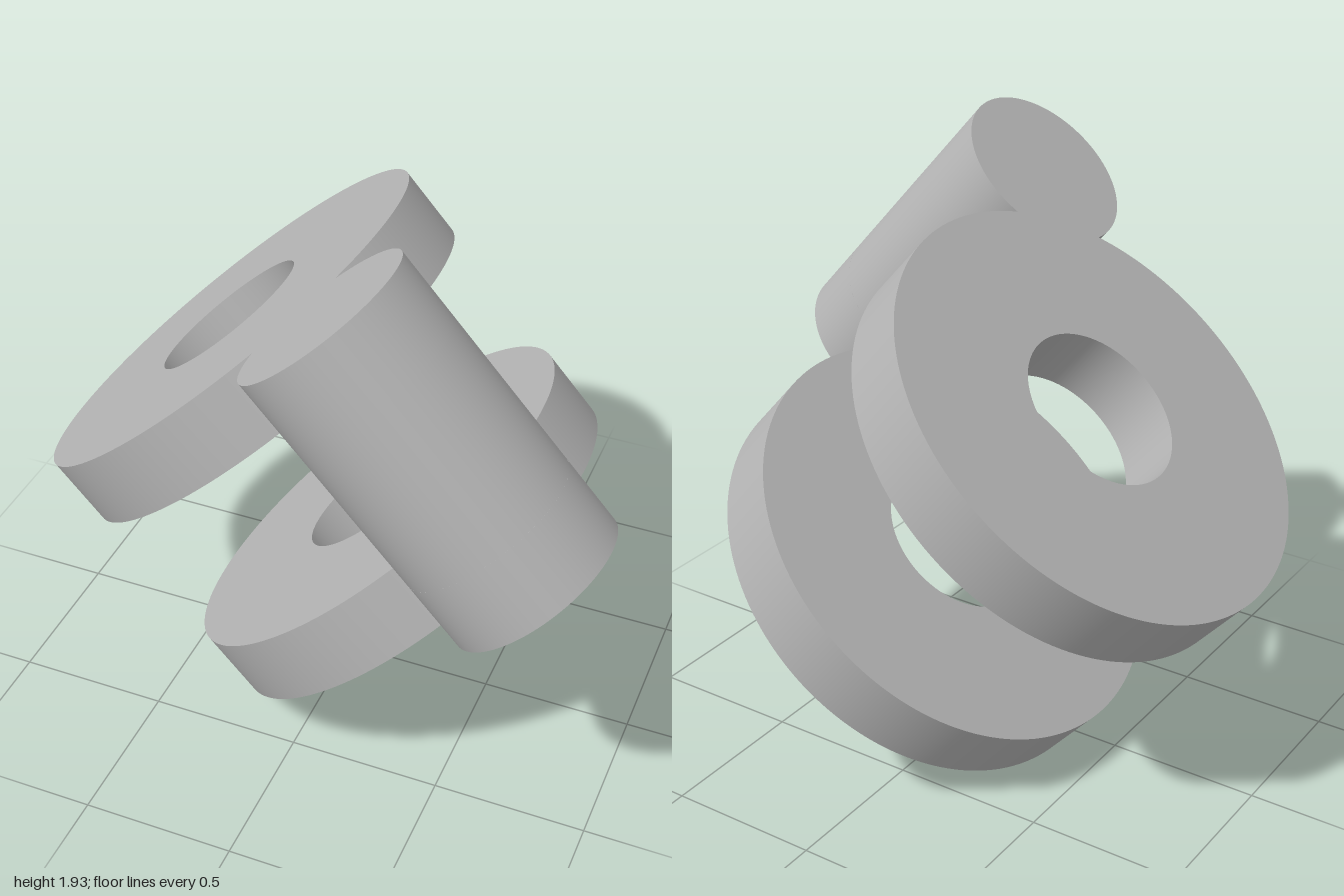
import * as THREE from 'three';
import { toCreasedNormals } from 'three/addons/utils/BufferGeometryUtils.js';

export function createModel() {
  const grey = new THREE.MeshStandardMaterial({ color: 0xb4b4b4 });
  grey.name = 'plain grey';

  const ringR = 0.73, holeR = 0.268, pinR = 0.29;
  const pinX = 0.755, pinY = 0.58;          // pin centre relative to the ring centre
  const thickness = 0.235, length = 1.005;  // plate thickness, overall length along the axis

  // Plate outline: ring and pin circles joined where they cross
  const d = Math.hypot(pinX, pinY), phi = Math.atan2(pinY, pinX);
  const a = Math.acos((d * d + ringR * ringR - pinR * pinR) / (2 * d * ringR));
  const b = Math.acos((d * d + pinR * pinR - ringR * ringR) / (2 * d * pinR));
  const outline = new THREE.Shape();
  outline.absarc(0, 0, ringR, phi + a, phi - a + 2 * Math.PI, false);
  outline.absarc(pinX, pinY, pinR, phi + Math.PI + b, phi + 3 * Math.PI - b, false);
  outline.closePath();
  const hole = new THREE.Path();
  hole.absarc(0, 0, holeR, 0, 2 * Math.PI, true);
  outline.holes.push(hole);

  const plateGeo = toCreasedNormals(
    new THREE.ExtrudeGeometry(outline, { depth: thickness, bevelEnabled: false, curveSegments: 72 }), 0.5);

  const body = new THREE.Group();
  body.name = 'linkBody';

  // Two parallel ring plates
  [['upperRing', 0], ['lowerRing', length - thickness]].forEach(([name, z]) => {
    const plate = new THREE.Mesh(plateGeo, grey);
    plate.name = name;
    plate.position.z = z;
    body.add(plate);
  });

  // Pin between the plates
  const pinGeo = new THREE.CylinderGeometry(pinR, pinR, length - 2 * thickness, 72, 1, true);
  pinGeo.rotateX(Math.PI / 2);
  const pin = new THREE.Mesh(pinGeo, grey);
  pin.name = 'connectingPin';
  pin.position.set(pinX, pinY, length / 2);
  body.add(pin);

  // Tilt the whole link: local z is the pin axis
  const angle = Math.atan2(0.662, 0.749);
  const u = new THREE.Vector3(Math.cos(angle), Math.sin(angle), 0);
  const v = new THREE.Vector3(0, 0, 1);
  const w = new THREE.Vector3().crossVectors(u, v);
  body.quaternion.setFromRotationMatrix(new THREE.Matrix4().makeBasis(u, v, w));
  body.rotateX(0.007);
  body.position.set(-0.453, 1.238, -0.07);

  const model = new THREE.Group();
  model.name = 'doubleRingLink';
  model.add(body);
  return model;
}
